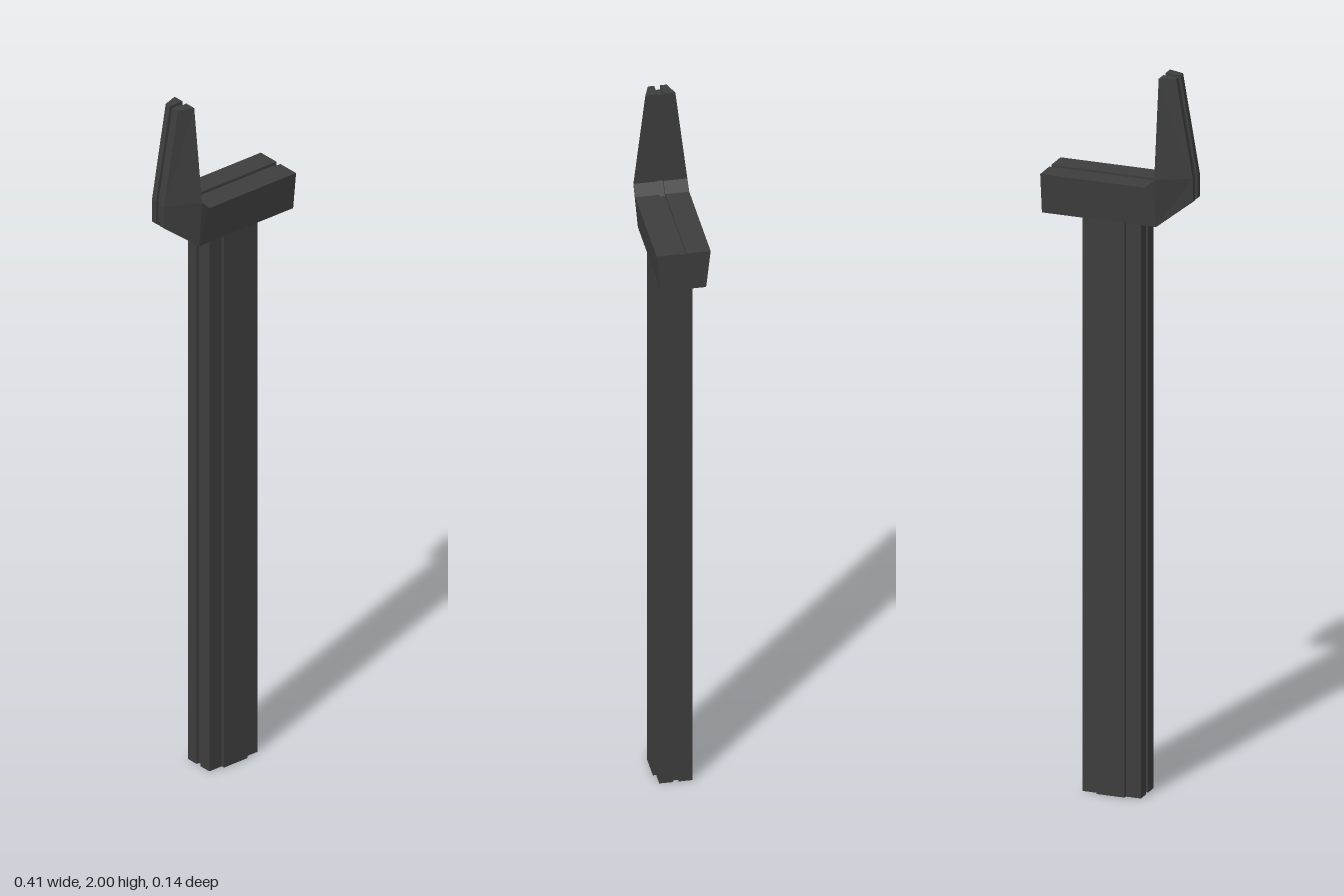
import * as THREE from 'three';

const material = new THREE.MeshStandardMaterial({ color: 0x3d3d3d, flatShading: true });
const GROOVE = 0.008; // half width of the groove, also its depth

function named(geometry, name) {
  const mesh = new THREE.Mesh(geometry, material);
  mesh.name = name;
  return mesh;
}

// Half of the head: outline of [x, y, outerZ], counter-clockwise from the front
const OUTLINE = [
  [-0.116, 2, 0.04], [-0.159, 2, 0.025], [-0.206, 1.73, 0.025],
  [-0.206, 1.665, 0.025], [-0.116, 1.595, 0.06], [0.205, 1.595, 0.06],
  [0.205, 1.705, 0.072], [-0.09, 1.705, 0.072], [-0.116, 1.73, 0.072],
];
// Prong, elbow and bar
const SIDE_FACES = [[0, 1, 2], [0, 2, 8], [2, 3, 4], [2, 4, 8], [8, 4, 7], [4, 5, 6], [4, 6, 7]];

// Prism between the flat groove wall and the sloping outer side
function headHalf(side) {
  const positions = [];
  const inner = OUTLINE.map(([x, y]) => [x, y, side * GROOVE]);
  const outer = OUTLINE.map(([x, y, z]) => [x, y, side * z]);
  const tri = (a, b, c) => positions.push(...(side > 0 ? [a, b, c] : [a, c, b]).flat());
  for (const [a, b, c] of SIDE_FACES) {
    tri(outer[a], outer[b], outer[c]);
    tri(inner[a], inner[c], inner[b]);
  }
  // rim
  OUTLINE.forEach((_, i) => {
    const j = (i + 1) % OUTLINE.length;
    tri(inner[i], inner[j], outer[j]);
    tri(inner[i], outer[j], outer[i]);
  });
  const geometry = new THREE.BufferGeometry();
  geometry.setAttribute('position', new THREE.Float32BufferAttribute(positions, 3));
  geometry.computeVertexNormals();
  return geometry;
}

function extrude(points, depth) {
  const shape = new THREE.Shape(points.map(([x, y]) => new THREE.Vector2(x, y)));
  return new THREE.ExtrudeGeometry(shape, { depth, bevelEnabled: false });
}

export function createModel() {
  const model = new THREE.Group();
  model.name = 'lever';

  // Post: raised middle panels front and back, a groove down each narrow end
  const quarter = [
    [0.082 - GROOVE, GROOVE], [0.082, GROOVE], [0.082, 0.044], [0.04, 0.044], [0.04, 0.053],
  ];
  const half = [...quarter, ...quarter.map(([x, y]) => [-x, y]).reverse()];
  const section = [...half, ...half.map(([x, y]) => [-x, -y])];
  const post = named(extrude(section, 1.61), 'post');
  post.geometry.rotateX(-Math.PI / 2);
  post.position.x = 0.0145;
  model.add(post);

  // Hooked head: two mirrored halves
  const head = new THREE.Group();
  head.name = 'head';
  head.add(named(headHalf(1), 'frontHalf'));
  head.add(named(headHalf(-1), 'backHalf'));

  // Recessed core at the bottom of the groove
  const core = named(extrude([
    [-0.125, 1.992], [-0.151, 1.992], [-0.198, 1.729], [-0.198, 1.669], [-0.113, 1.603],
    [0.197, 1.603], [0.197, 1.697], [-0.094, 1.697], [-0.125, 1.726],
  ], GROOVE * 2), 'grooveCore');
  core.position.z = -GROOVE;
  head.add(core);
  model.add(head);
  return model;
}
